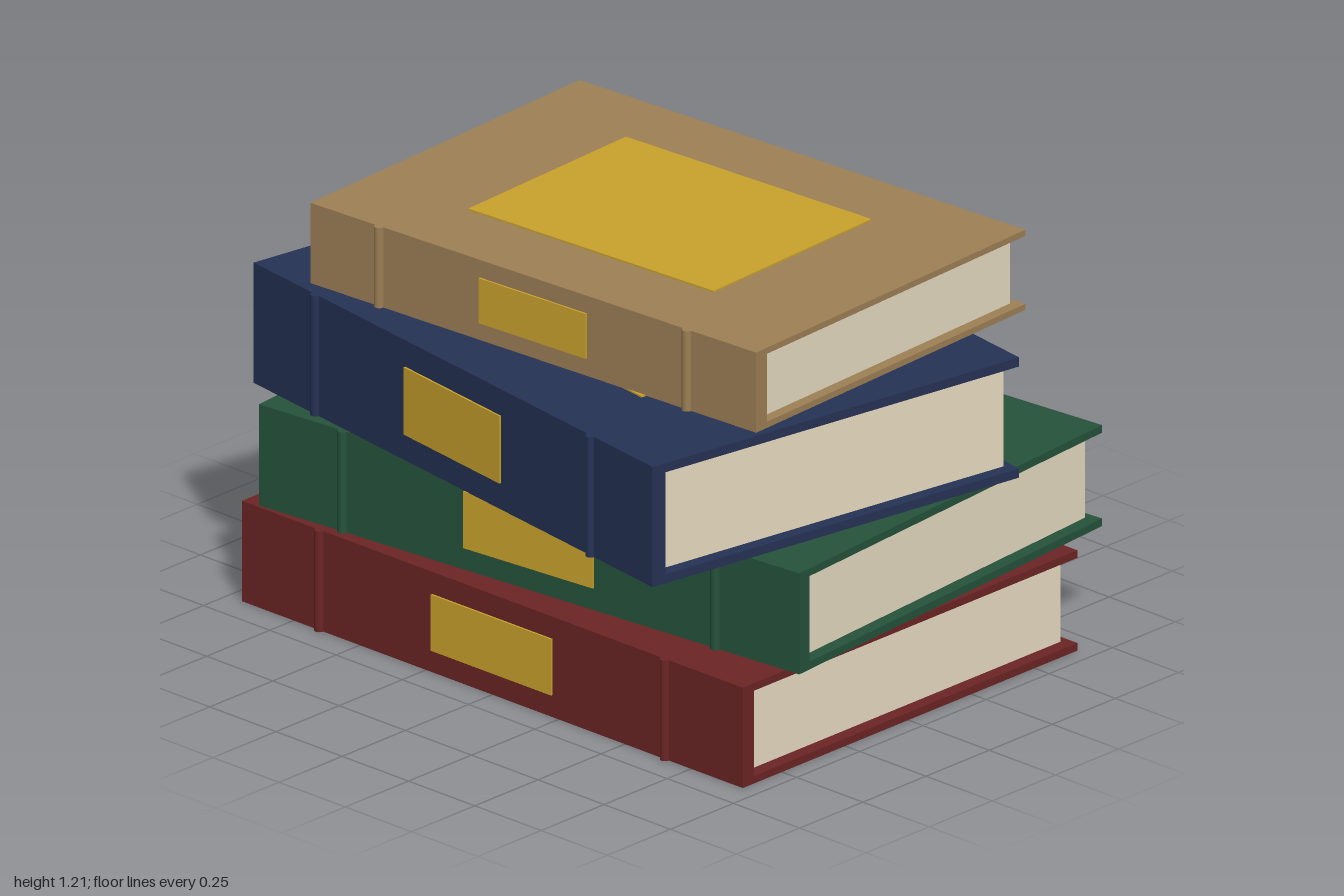
import * as THREE from 'three';

const mat = (name, color) => {
  const m = new THREE.MeshStandardMaterial({ color });
  m.name = name;
  return m;
};

// w: spine to fore-edge, h: thickness, d: spine length, turn: degrees about y
const BOOKS = [
  { name: 'redBook', color: 0x6b2424, w: 1.325, h: 0.298, d: 1.89, x: 0.007, y: 0, z: 0, turn: 0 },
  { name: 'greenBook', color: 0x25523b, w: 1.325, h: 0.3, d: 1.89, x: 0.0925, y: 0.3, z: -0.003, turn: 5 },
  { name: 'blueBook', color: 0x253255, w: 1.26, h: 0.357, d: 1.795, x: -0.0775, y: 0.605, z: -0.007, turn: -9 },
  { name: 'tanBook', color: 0x9c7f55, w: 1.13, h: 0.238, d: 1.605, x: 0.045, y: 0.965, z: -0.005, turn: 3 },
];

function makeBook({ name, color, w, h, d, x, y, z, turn }, paper, gold) {
  const book = new THREE.Group();
  book.name = name;
  const cloth = mat(name + 'Cloth', color);
  const cover = h * 0.076, spine = 0.045, overhang = 0.025, inset = d * 0.021;
  const inner = h - 2 * cover;

  const add = (part, geometry, material, px, py, pz) => {
    const mesh = new THREE.Mesh(geometry, material);
    mesh.name = part;
    mesh.position.set(px, py, pz);
    book.add(mesh);
  };
  const box = (part, sx, sy, sz, material, px, py, pz = 0) =>
    add(part, new THREE.BoxGeometry(sx, sy, sz), material, px, py, pz);

  // Boards, spine and page block
  box('bottomCover', w, cover, d, cloth, 0, cover / 2);
  box('topCover', w, cover, d, cloth, 0, h - cover / 2);
  box('spine', spine, inner, d, cloth, (spine - w) / 2, h / 2);
  box('pages', w - spine - overhang, inner, d - 2 * inset, paper, (spine - overhang) / 2, h / 2);

  // Raised bands across the spine
  for (const side of [-1, 1]) {
    add('spineBand', new THREE.CylinderGeometry(0.015, 0.015, h, 12), cloth, -w / 2, h / 2, side * d * 0.345);
  }

  // Gilt panels on the spine and the front board
  box('spineLabel', 0.006, h * 0.56, d * 0.24, gold, -w / 2 - 0.003, h / 2);
  box('coverLabel', w * 0.585, 0.005, d * 0.55, gold, 0.008, h + 0.0025);

  book.position.set(x, y, z);
  book.rotation.y = THREE.MathUtils.degToRad(turn);
  return book;
}

export function createModel() {
  const model = new THREE.Group();
  model.name = 'bookStack';
  const paper = mat('paper', 0xe6dac0);
  const gold = mat('gold', 0xc9a22c);
  for (const spec of BOOKS) model.add(makeBook(spec, paper, gold));
  return model;
}
